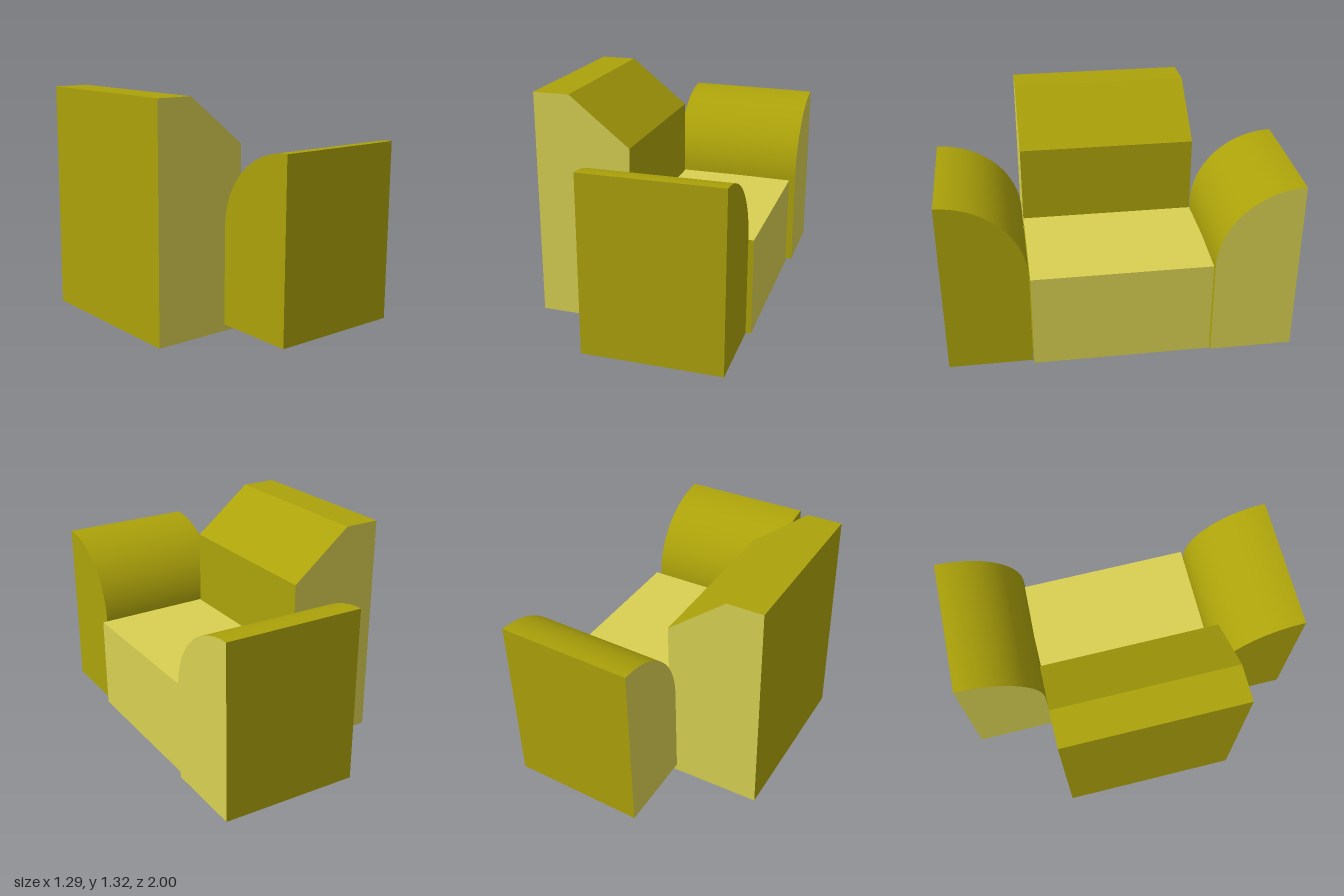
import * as THREE from 'three';
import { toCreasedNormals } from 'three/addons/utils/BufferGeometryUtils.js';

export function createModel() {
  const group = new THREE.Group();
  const paint = (name, color) => {
    const material = new THREE.MeshStandardMaterial({ color });
    material.name = name;
    return material;
  };
  const olive = paint('olive upholstery', 0xaca20a);
  const pale = paint('pale yellow upholstery', 0xd8d052);

  const add = (name, geometry, material, x, y, z, turn = 0) => {
    const mesh = new THREE.Mesh(geometry, material);
    mesh.name = name;
    mesh.position.set(x, y, z);
    mesh.rotation.y = turn;
    group.add(mesh);
  };

  // Extrudes a profile about its middle; end caps are material 0, sides material 1
  const extrude = (shape, depth) => {
    const g = new THREE.ExtrudeGeometry(shape, { depth, bevelEnabled: false, curveSegments: 12 });
    g.translate(0, 0, -depth / 2);
    return toCreasedNormals(g, 0.5);
  };

  // Backrest: tall block with a sloping front shoulder and pale ends
  const back = new THREE.Shape([
    [-0.65, 0], [-0.095, 0], [-0.095, 1.045], [-0.44, 1.32], [-0.65, 1.32],
  ].map(([x, y]) => new THREE.Vector2(x, y)));
  add('backrest', extrude(back, 1.03), [pale, olive], 0, 0, 0.005);

  // Seat cushion: pale, with olive underside and left end
  add('seat', new THREE.BoxGeometry(0.695, 0.56, 1.03),
    [pale, pale, pale, olive, olive, pale], 0.2575, 0.32, 0.005);

  // Armrest: straight outer side, quarter-round inner side
  const w = 0.2375, h = 1.015, shoulder = 0.56;
  const arm = new THREE.Shape();
  arm.moveTo(-w, 0);
  arm.lineTo(w, 0);
  arm.lineTo(w, h);
  arm.absellipse(w, shoulder, 2 * w, h - shoulder, Math.PI / 2, Math.PI, false);
  arm.closePath();
  const leftArm = extrude(arm, 0.785).rotateY(-Math.PI / 2);
  add('leftArmrest', leftArm, olive, 0.183, 0.04, 0.7625);

  // The opposite arm runs slightly askew and has pale ends
  const rightArm = leftArm.clone().applyMatrix4(new THREE.Matrix4().makeShear(0, 0.037, 0, 0, 0, 0));
  add('rightArmrest', rightArm, [pale, olive], 0.25, 0.06, -0.748, Math.PI);

  return group;
}
